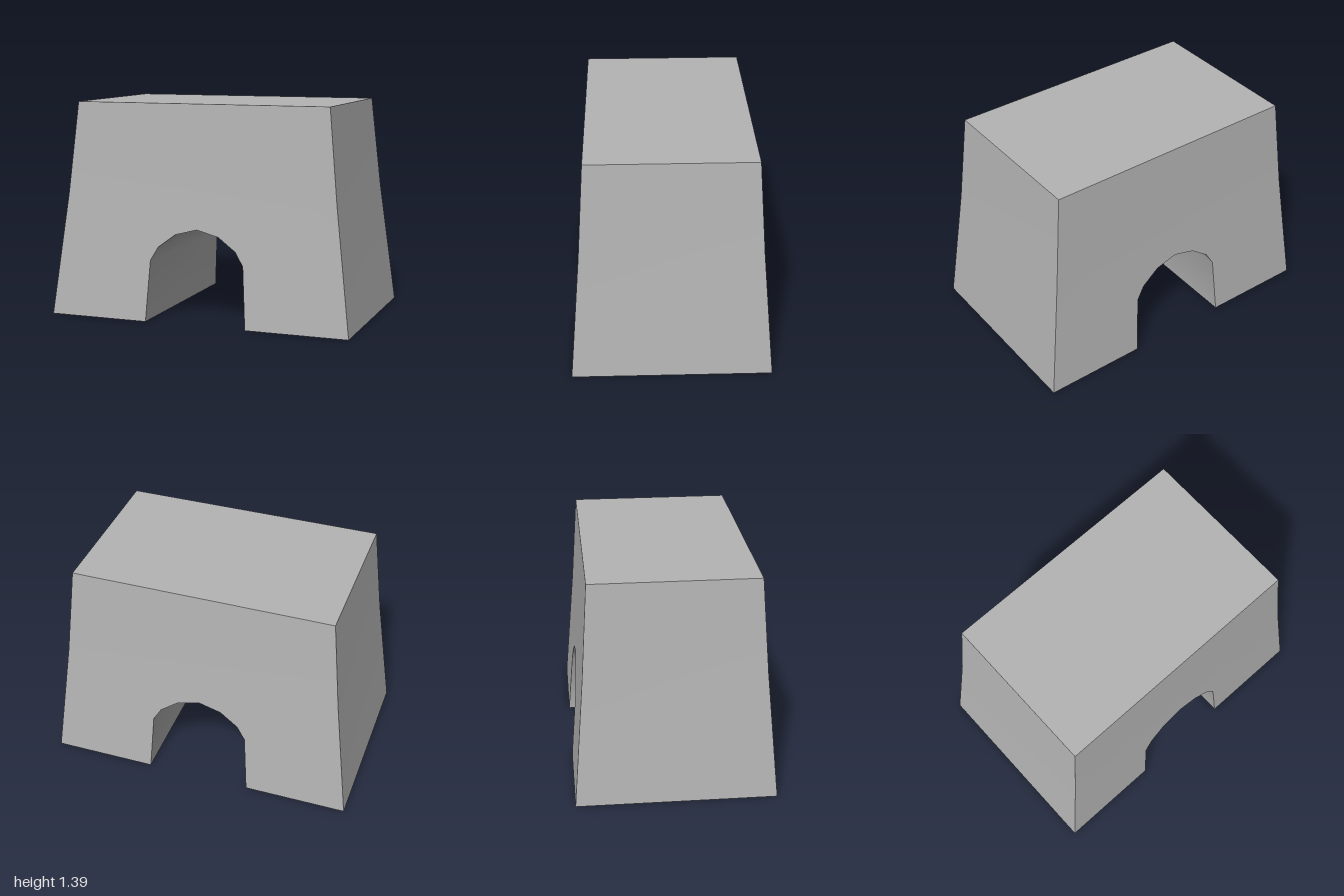
import * as THREE from 'three';
import { toCreasedNormals } from 'three/addons/utils/BufferGeometryUtils.js';

const stone = new THREE.MeshStandardMaterial({ color: 0xb4b4b4 });
stone.name = 'grey stone';

// Half depth of the block at height y: the walls lean in, less steeply above 0.8
const halfDepth = (y) => (y < 0.8
  ? THREE.MathUtils.mapLinear(y, 0, 0.8, 0.625, 0.561)
  : THREE.MathUtils.mapLinear(y, 0.8, 1.39, 0.561, 0.523));

const mirror = (points) => points.map(([x, y]) => [-x, y]).reverse();

export function createModel() {
  // Right half of the front outline, mirrored to close the loop
  const arch = [[0.145, 0.567], [0.26, 0.482], [0.312, 0.395], [0.337, 0]];
  const foot = [1, 0], waist = [0.9, 0.8], top = [0.84, 1.39];
  const half = [...arch, foot, waist, top];
  const outline = [[0, 0.605], ...half, ...mirror(half)];
  const lower = [[0, 0.605], ...arch, foot, waist, ...mirror([...arch, foot, waist])];
  const upper = [waist, top, ...mirror([waist, top])];

  const vertices = [];
  const add = ([x, y], side) => vertices.push(x, y, side * halfDepth(y));

  // Front and back walls
  for (const wall of [lower, upper]) {
    const contour = wall.map(([x, y]) => new THREE.Vector2(x, y));
    for (const [a, b, c] of THREE.ShapeUtils.triangulateShape(contour, [])) {
      for (const i of [a, b, c]) add(wall[i], 1);
      for (const i of [a, c, b]) add(wall[i], -1);
    }
  }

  // Sides, top, feet and the tunnel through the block
  outline.forEach((a, i) => {
    const b = outline[(i + 1) % outline.length];
    add(a, 1); add(a, -1); add(b, -1);
    add(a, 1); add(b, -1); add(b, 1);
  });

  const geometry = new THREE.BufferGeometry();
  geometry.setAttribute('position', new THREE.Float32BufferAttribute(vertices, 3));
  const block = new THREE.Mesh(toCreasedNormals(geometry, 0.8), stone);
  block.name = 'archedBlock';

  const group = new THREE.Group();
  group.name = 'archedStool';
  group.add(block);
  return group;
}
